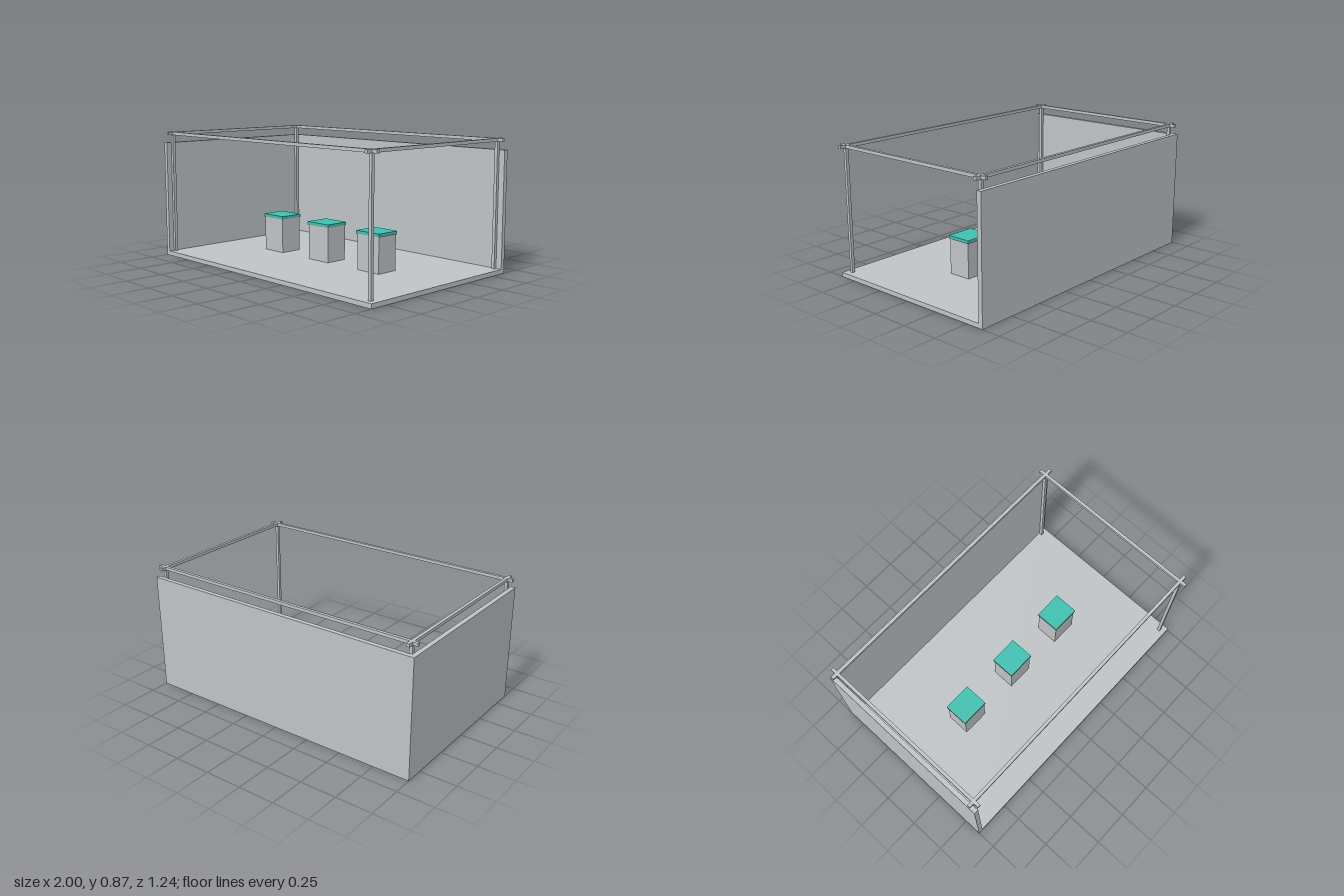
import * as THREE from 'three';

export function createModel() {
  const model = new THREE.Group();
  model.name = 'exhibitionBooth';

  const grey = new THREE.MeshStandardMaterial({ color: 0xc0c4c7 });
  grey.name = 'lightGrey';
  const teal = new THREE.MeshStandardMaterial({ color: 0x40c1b1 });
  teal.name = 'teal';

  // Box given by its lower and upper limits on each axis
  function box(name, material, [x0, x1], [y0, y1], [z0, z1], parent = model) {
    const mesh = new THREE.Mesh(new THREE.BoxGeometry(x1 - x0, y1 - y0, z1 - z0), material);
    mesh.position.set((x0 + x1) / 2, (y0 + y1) / 2, (z0 + z1) / 2);
    mesh.name = name;
    parent.add(mesh);
  }

  const halfX = 1, halfZ = 0.622, floorTop = 0.03, wallTop = 0.8, frameTop = 0.874;
  const bar = 0.021;
  const fullX = [-halfX, halfX], fullZ = [-halfZ, halfZ];

  // Floor and the two walls
  box('floor', grey, fullX, [0, floorTop], fullZ);
  box('backWall', grey, fullX, [floorTop, wallTop], [-halfZ, -halfZ + 0.031]);
  box('sideWall', grey, [-halfX, -halfX + 0.031], [floorTop, wallTop], [-halfZ + 0.031, halfZ]);

  // Square-section frame: posts in the corners, rails overhanging at the top
  const frame = new THREE.Group();
  frame.name = 'frame';
  model.add(frame);
  const barX = [-0.957, 0.952].map((c) => [c - bar / 2, c + bar / 2]);
  const barZ = [-0.577, 0.577].map((c) => [c - bar / 2, c + bar / 2]);
  const railY = [frameTop - bar, frameTop];
  for (const x of barX) {
    for (const z of barZ) box('post', grey, x, [floorTop, frameTop - 0.001], z, frame);
    box('sideRail', grey, x, railY, fullZ, frame);
  }
  for (const z of barZ) box('longRail', grey, fullX, railY, z, frame);

  // Three display plinths with coloured tops
  for (const x of [-0.462, -0.003, 0.457]) {
    const plinth = new THREE.Group();
    plinth.name = 'plinth';
    plinth.position.set(x, 0, 0.002);
    model.add(plinth);
    box('plinthBase', grey, [-0.093, 0.093], [floorTop, 0.267], [-0.079, 0.079], plinth);
    box('plinthTop', teal, [-0.099, 0.099], [0.267, 0.288], [-0.085, 0.085], plinth);
  }

  return model;
}
